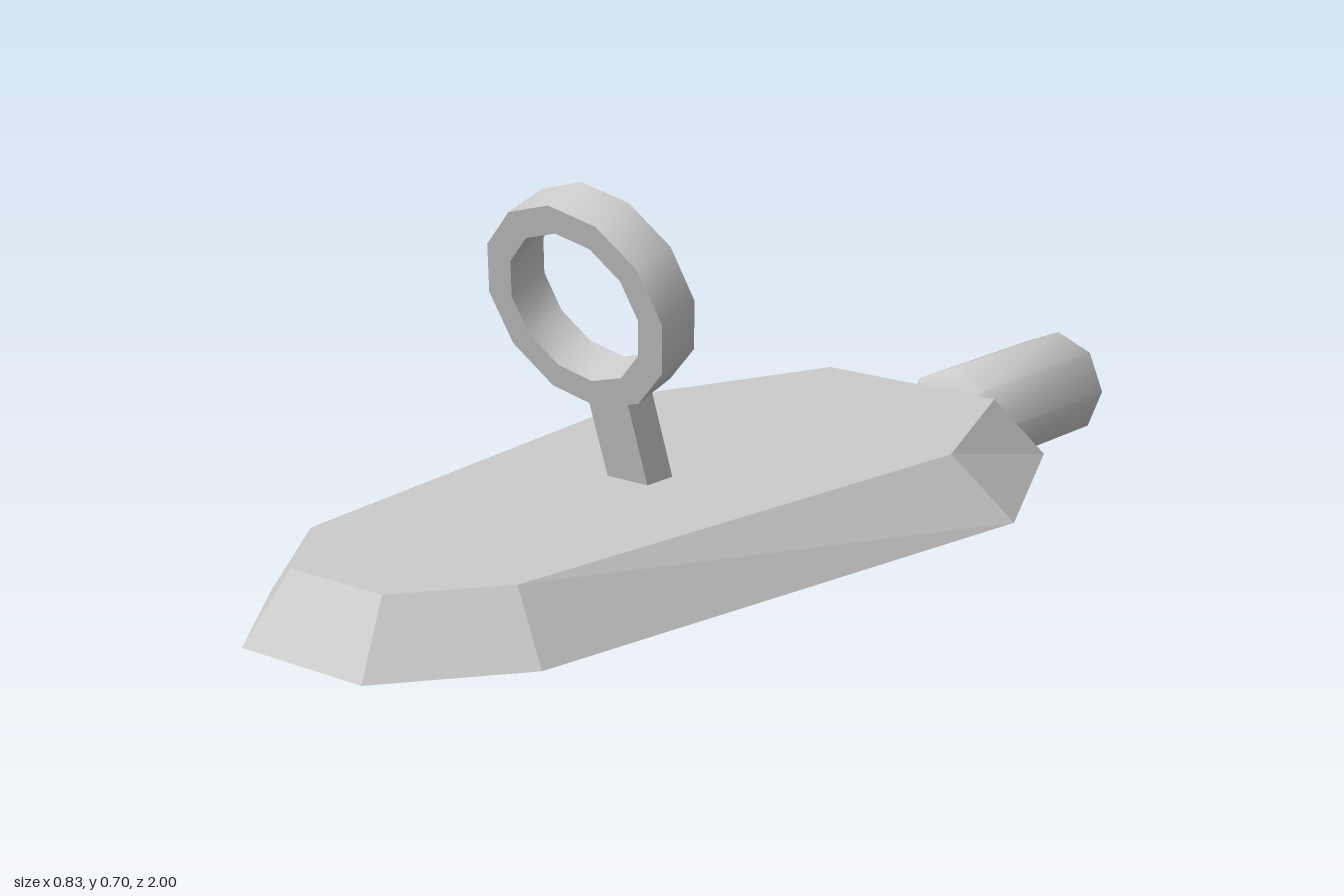
import * as THREE from 'three';
import { toCreasedNormals } from 'three/addons/utils/BufferGeometryUtils.js';

const mat = (opts = {}) => new THREE.MeshStandardMaterial({ color: 0xcccccc, ...opts });

function addMesh(parent, name, geometry, material) {
  const mesh = new THREE.Mesh(geometry, material);
  mesh.name = name;
  parent.add(mesh);
  return mesh;
}

// Lathe whose axis runs along z; profile entries are [radius, z]
function latheZ(profile, sides) {
  const points = profile.map(([r, z]) => new THREE.Vector2(r, z));
  return new THREE.LatheGeometry(points, sides).rotateX(Math.PI / 2);
}

// Full outline loop from the +x half, mirrored to -x
const mirrorLoop = (half) => [...half, ...half.map(([x, z]) => [-x, z]).reverse()];

// Open-bottomed shell: sloped walls from the rim up to a flat top
function shellGeometry(rimHalf, topHalf, rimY, topY) {
  const rim = mirrorLoop(rimHalf).map(([x, z]) => [x, rimY, z]);
  const top = mirrorLoop(topHalf).map(([x, z]) => [x, topY, z]);
  const positions = [];
  const n = rim.length;
  for (let i = 0; i < n; i++) {
    const j = (i + 1) % n;
    positions.push(...rim[i], ...top[j], ...rim[j]);
    positions.push(...rim[i], ...top[i], ...top[j]);
    positions.push(0, topY, 0.2, ...top[j], ...top[i]);
  }
  const geometry = new THREE.BufferGeometry();
  geometry.setAttribute('position', new THREE.Float32BufferAttribute(positions, 3));
  geometry.computeVertexNormals();
  return geometry;
}

export function createModel() {
  const model = new THREE.Group();
  model.name = 'model';

  // Elongated eight-sided body, hollow underneath
  const body = shellGeometry(
    [[0.235, -0.565], [0.417, -0.195], [0.28, 0.8], [0.123, 1]],
    [[0.18, -0.485], [0.317, -0.155], [0.213, 0.775], [0.094, 0.927]],
    0.097, 0.205
  );
  // Walk the outline so the walls and top face outwards
  body.index = null;
  const p = body.attributes.position;
  const a = new THREE.Vector3().fromBufferAttribute(p, 6);
  const b = new THREE.Vector3().fromBufferAttribute(p, 7);
  const c = new THREE.Vector3().fromBufferAttribute(p, 8);
  if (b.sub(a).cross(c.sub(a)).y < 0) {
    for (let i = 0; i < p.count; i += 3) {
      const v = [p.getX(i), p.getY(i), p.getZ(i)];
      p.setXYZ(i, p.getX(i + 1), p.getY(i + 1), p.getZ(i + 1));
      p.setXYZ(i + 1, ...v);
    }
    body.computeVertexNormals();
  }
  addMesh(model, 'body', body, mat({ flatShading: true, side: THREE.DoubleSide }));

  // Tilted ring sight on its short post
  const sight = new THREE.Group();
  sight.name = 'ringSight';
  sight.position.set(0, 0.522, 0.374);
  sight.rotation.x = 0.31;
  model.add(sight);
  const [inner, outer, half] = [0.13, 0.178, 0.04];
  const ring = latheZ(
    [[inner, -half], [outer, -half], [outer, half], [inner, half], [inner, -half]], 12
  );
  addMesh(sight, 'ring', toCreasedNormals(ring, 0.6), mat());
  const post = new THREE.BoxGeometry(0.084, 0.19, 0.058).translate(0, -0.26, -0.012);
  addMesh(sight, 'post', post, mat({ flatShading: true }));

  // Slightly waisted rod running under the body
  const rod = latheZ([
    [0, -0.62], [0.06, -0.62], [0.06, -0.56], [0.07, -0.45], [0.072, -0.33], [0.066, -0.2],
    [0.058, 0], [0.06, 0.15], [0.068, 0.4], [0.072, 0.565], [0.048, 0.625], [0.03, 0.655], [0, 0.655]
  ], 8);
  rod.translate(0, 0.102, 0);
  addMesh(model, 'rod', toCreasedNormals(rod, 0.95), mat());

  // Thick grip with bevelled ends
  const grip = latheZ([
    [0, -1], [0.07, -1], [0.102, -0.972], [0.102, -0.615], [0.07, -0.588], [0, -0.588]
  ], 8);
  grip.translate(0, 0.103, 0);
  addMesh(model, 'grip', toCreasedNormals(grip, 0.95), mat());

  return model;
}
